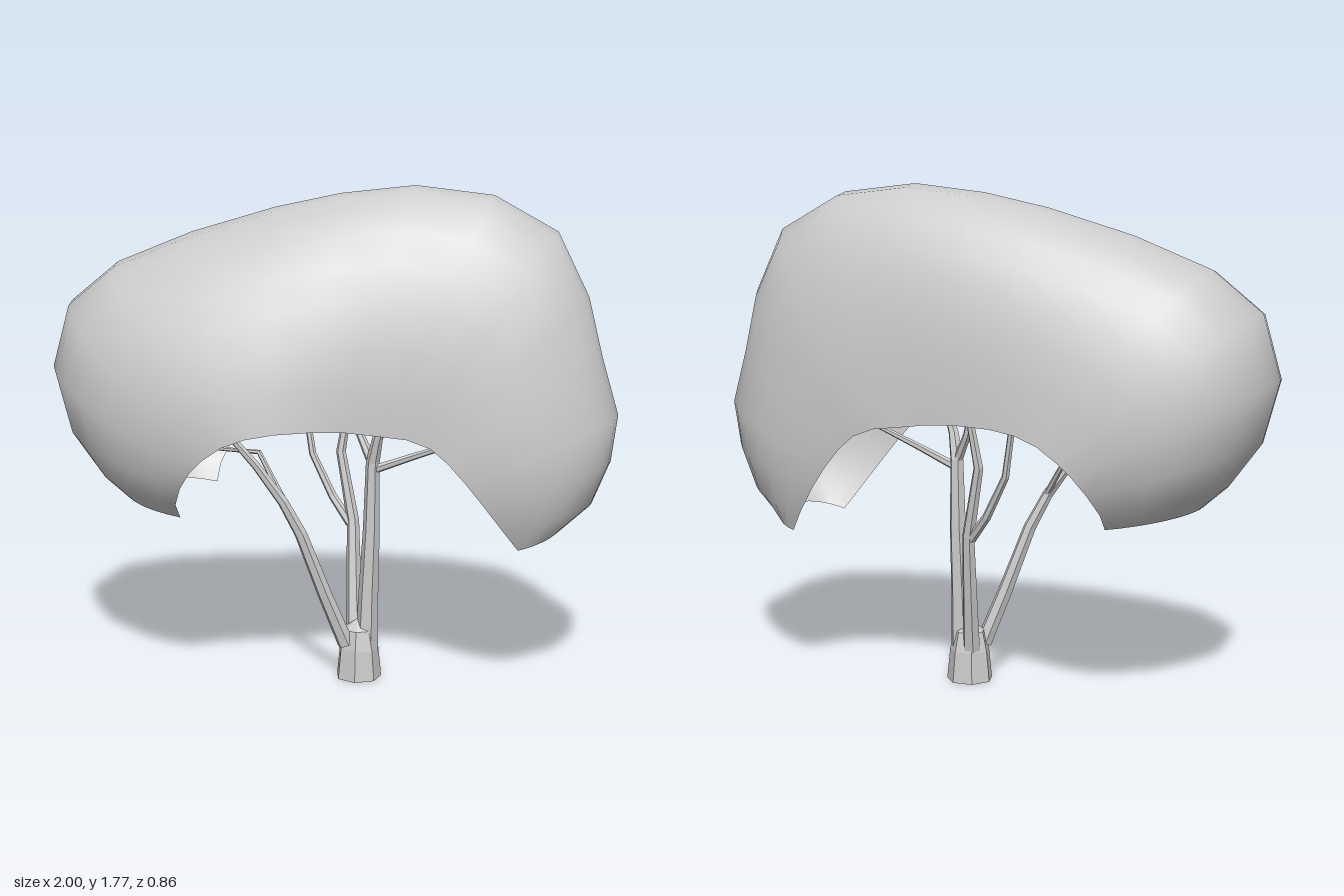
import * as THREE from 'three';

const V = (x, y, z) => new THREE.Vector3(x, y, z);

// Canopy sections along the arch:
// outer x, outer y, rim x, rim y, front half-depth, back half-depth
const SECTIONS = [
  [-0.74, 0.68, -0.48, 0.64, 0.26, 0.28],
  [-0.83, 0.76, -0.48, 0.70, 0.32, 0.34],
  [-0.94, 0.91, -0.45, 0.77, 0.37, 0.39],
  [-1.00, 1.13, -0.41, 0.83, 0.40, 0.42],
  [-0.94, 1.35, -0.36, 0.88, 0.42, 0.43],
  [-0.77, 1.49, -0.29, 0.93, 0.43, 0.43],
  [-0.50, 1.60, -0.21, 0.96, 0.43, 0.42],
  [-0.20, 1.69, -0.12, 0.975, 0.41, 0.41],
  [0.03, 1.74, 0.00, 0.98, 0.37, 0.40],
  [0.29, 1.77, 0.11, 0.975, 0.33, 0.39],
  [0.56, 1.74, 0.22, 0.96, 0.30, 0.38],
  [0.78, 1.62, 0.31, 0.95, 0.29, 0.38],
  [0.89, 1.40, 0.39, 0.92, 0.28, 0.37],
  [0.94, 1.20, 0.45, 0.87, 0.28, 0.36],
  [1.00, 1.00, 0.51, 0.80, 0.27, 0.35],
  [0.98, 0.84, 0.57, 0.72, 0.25, 0.33],
  [0.92, 0.69, 0.63, 0.63, 0.21, 0.30],
  [0.81, 0.59, 0.68, 0.55, 0.16, 0.26],
];

// Joins equal-length rows of points into a smooth or faceted skin
function skin(rows, closed) {
  const n = rows[0].length, pos = [], index = [];
  rows.forEach(row => row.forEach(p => pos.push(p.x, p.y, p.z)));
  for (let i = 0; i < rows.length - 1; i++) {
    for (let j = 0; j < (closed ? n : n - 1); j++) {
      const k = (j + 1) % n;
      const a = i * n + j, b = i * n + k, c = a + n, d = b + n;
      index.push(a, c, b, b, c, d);
    }
  }
  const g = new THREE.BufferGeometry();
  g.setAttribute('position', new THREE.Float32BufferAttribute(pos, 3));
  g.setIndex(index);
  g.computeVertexNormals();
  return g;
}

// Each section is a rounded dome from the front rim, over the ridge, to the back rim
function canopyGeometry() {
  const steps = 16;
  const rows = SECTIONS.map(([ox, oy, rx, ry, front, back], i) => {
    const mid = Math.sin(Math.PI * i / (SECTIONS.length - 1));
    const centre = -0.05 * mid * mid;
    const row = [];
    for (let j = 0; j <= steps; j++) {
      const a = Math.PI * j / steps;
      const isFront = j <= steps / 2;
      const power = isFront ? 2 - 0.1 * mid : 2 + 0.35 * mid;
      const u = Math.pow(Math.sin(a), 2 / power);
      const w = Math.pow(Math.abs(Math.cos(a)), 2 / power);
      const z = isFront ? centre + (front - centre) * w : centre - (back + centre) * w;
      row.push(V(rx + (ox - rx) * u, ry + (oy - ry) * u, j === steps / 2 ? centre : z));
    }
    return row;
  });
  return skin(rows, false);
}

// Tapered faceted limb along a bent path
function limbGeometry(points, r0, r1, sides = 6) {
  const up = V(0, 1, 0), last = points.length - 1;
  const rows = points.map((p, i) => {
    const dir = points[Math.min(i + 1, last)].clone().sub(points[Math.max(i - 1, 0)]).normalize();
    const q = new THREE.Quaternion().setFromUnitVectors(up, dir);
    const r = r0 + (r1 - r0) * i / last;
    return Array.from({ length: sides }, (_, j) => {
      const a = -2 * Math.PI * j / sides;
      return V(Math.cos(a) * r, 0, Math.sin(a) * r).applyQuaternion(q).add(p);
    });
  });
  rows.push(rows[last].map(() => points[last].clone()));
  return skin(rows, true);
}

export function createModel() {
  const group = new THREE.Group();
  const leafMat = new THREE.MeshStandardMaterial({ color: 0xcccccc, side: THREE.DoubleSide });
  const barkMat = new THREE.MeshStandardMaterial({
    color: 0xcccccc, side: THREE.DoubleSide, flatShading: true,
  });
  const add = (name, geometry, material) => {
    const mesh = new THREE.Mesh(geometry, material);
    mesh.name = name;
    group.add(mesh);
    return mesh;
  };

  add('canopy', canopyGeometry(), leafMat);

  // Flared trunk base, open underneath
  const profile = [[0.083, 0], [0.072, 0.11], [0.055, 0.18], [0, 0.22]]
    .map(([r, y]) => new THREE.Vector2(r, y));
  const trunk = add('trunk', new THREE.LatheGeometry(profile, 7), barkMat);
  trunk.position.set(0.1, 0, -0.025);

  // Main stems
  add('leftStem', limbGeometry([V(0.06, 0.13, 0.01), V(-0.01, 0.32, 0.045), V(-0.09, 0.55, 0.08),
    V(-0.15, 0.67, 0.1), V(-0.24, 0.8, 0.12), V(-0.34, 0.92, 0.14)], 0.03, 0.012), barkMat);
  add('rightStem', limbGeometry([V(0.13, 0.1, -0.025), V(0.135, 0.3, -0.025), V(0.145, 0.55, -0.025),
    V(0.15, 0.8, -0.02), V(0.17, 0.89, 0), V(0.21, 1.0, 0.02)], 0.042, 0.013), barkMat);
  add('backStem', limbGeometry([V(0.08, 0.12, -0.06), V(0.07, 0.32, -0.1), V(0.06, 0.55, -0.14),
    V(0.01, 0.8, -0.17), V(0.04, 1.0, -0.19)], 0.032, 0.013), barkMat);

  // Thinner side branches
  add('backBranch', limbGeometry([V(0.05, 0.54, -0.14), V(-0.02, 0.63, -0.17),
    V(-0.1, 0.78, -0.2), V(-0.14, 1.0, -0.23)], 0.018, 0.011), barkMat);
  add('innerBranch', limbGeometry([V(0.15, 0.79, -0.02), V(0.1, 0.89, -0.05),
    V(0.07, 1.0, -0.07)], 0.018, 0.011), barkMat);
  add('rightBranch', limbGeometry([V(0.15, 0.77, -0.02), V(0.3, 0.83, 0),
    V(0.47, 0.895, 0.02)], 0.016, 0.009), barkMat);
  add('leftTwig', limbGeometry([V(-0.14, 0.66, 0.1), V(-0.25, 0.83, 0.03),
    V(-0.4, 0.835, 0.02)], 0.012, 0.007), barkMat);

  return group;
}
